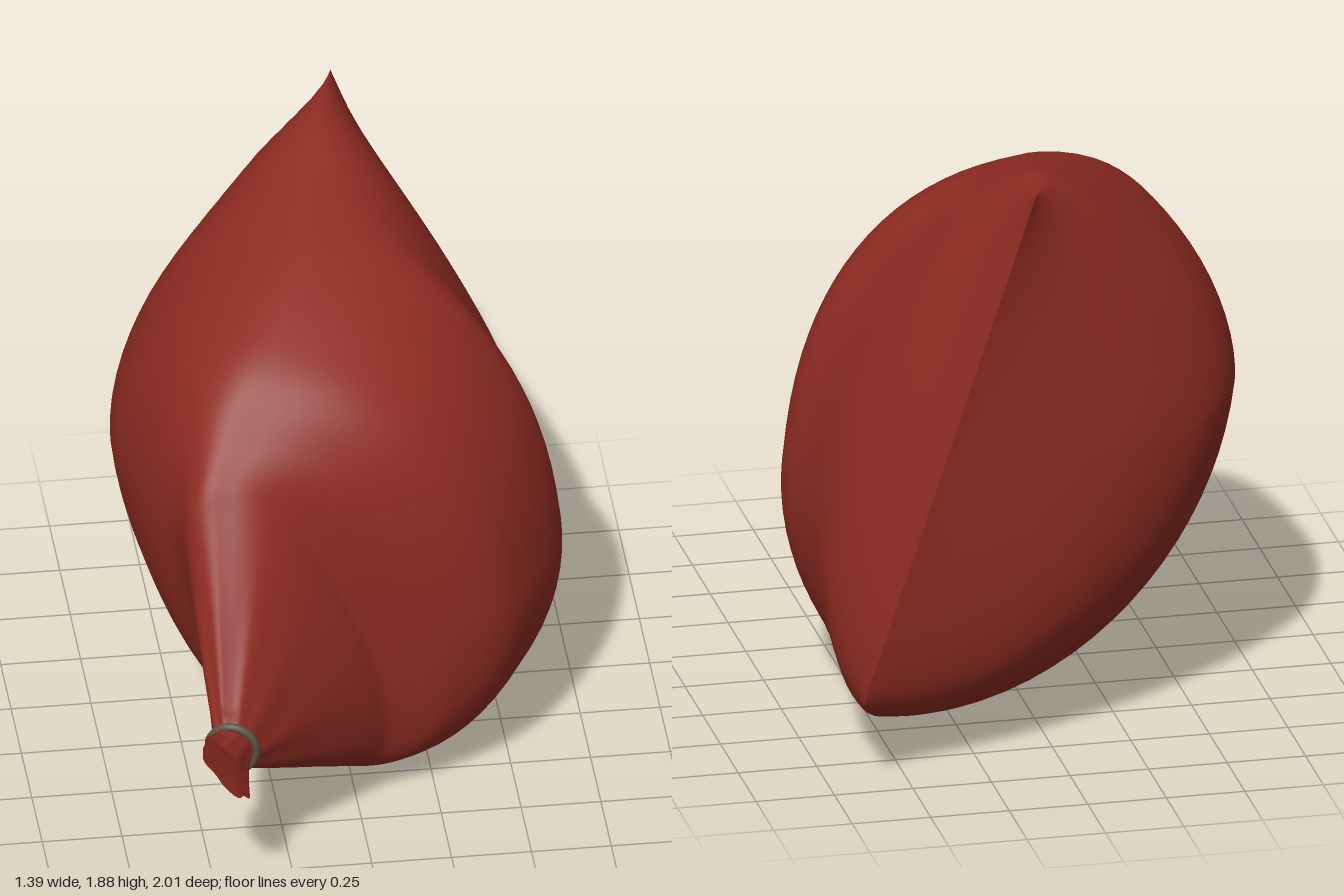
import * as THREE from 'three';

const V = (p) => new THREE.Vector3(...p);
const { smoothstep } = THREE.MathUtils;

// Cross-sections from the flat back seam to the tied mouth: top, left, bottom, right
const sections = [
  [[.08, 1.88, -.87], [.37, 1.08, -.935], [.66, .28, -1], [.37, 1.08, -.935]],
  [[.0, 1.87, -.64], [-.32, .95, -.75], [.57, .17, -.81], [.57, 1.02, -.45]],
  [[-.03, 1.8, -.38], [-.58, 1.0, -.56], [.34, .07, -.55], [.65, .83, -.18]],
  [[-.06, 1.72, -.1], [-.69, 1.0, -.25], [.14, .02, -.2], [.69, .72, .0]],
  [[-.16, 1.62, .14], [-.66, .9, .02], [.06, .0, .0], [.6, .7, .22]],
  [[-.27, 1.53, .29], [-.59, .78, .22], [.03, .03, .18], [.45, .7, .41]],
  [[-.38, 1.37, .42], [-.51, .74, .36], [.02, .09, .34], [.26, .7, .48]],
  [[-.43, 1.26, .5], [-.475, .72, .46], [.0, .14, .42], [.01, .7, .505]],
  [[-.475, .645, .9], [-.51, .56, .88], [-.435, .475, .88], [-.4, .55, .91]],
  [[-.53, .66, .995], [-.545, .56, .97], [-.43, .41, .955], [-.435, .52, 1.0]],
];

// Four lengthwise curves, with extra points that keep the cone straight
const rails = [0, 1, 2, 3].map((k) => {
  const points = sections.map((s) => V(s[k]));
  const cone = [.1, .5, .9].map((t) => points[7].clone().lerp(points[8], t));
  points.splice(8, 0, ...cone);
  return new THREE.CatmullRomCurve3(points);
});
const NECK = 11, MOUTH = 12;

// Fullness of each quarter of a section: below 1 is squarer, above 1 is flatter
function fullness(station, c, s) {
  if (c < 0) return s > 0 ? .95 : 1.1;
  return s > 0 ? 1.3 - .3 * smoothstep(station, 2.5, 5) : 1.1 - .3 * smoothstep(station, 1, 3);
}

// Lofts a smooth skin along the rails between two stations
function loft(first, last, steps, around, ripple, capped) {
  const pos = [], index = [];
  for (let i = 0; i <= steps; i++) {
    const station = first + (last - first) * i / steps;
    const [T, L, B, R] = rails.map((r) => r.getPoint(station / MOUTH));
    const C = T.clone().add(B).multiplyScalar(.5);
    const up = T.sub(C), left = L.sub(C), right = R.sub(C);
    for (let j = 0; j < around; j++) {
      const a = j / around * Math.PI * 2, c = Math.cos(a), s = Math.sin(a);
      const e = fullness(station, c, s);
      const f = 1 + ripple(station, a);
      const p = C.clone()
        .addScaledVector(up, Math.sign(c) * Math.abs(c) ** e * f)
        .addScaledVector(s > 0 ? left : right, Math.abs(s) ** e * f);
      pos.push(p.x, p.y, p.z);
    }
    if (i === steps && capped) pos.push(C.x, C.y, C.z - .02);
  }
  for (let i = 0; i < steps; i++) {
    for (let j = 0; j < around; j++) {
      const a = i * around + j, b = i * around + (j + 1) % around;
      index.push(a, b, a + around, b, b + around, a + around);
    }
  }
  if (capped) {
    const end = steps * around, centre = end + around;
    for (let j = 0; j < around; j++) index.push(end + j, end + (j + 1) % around, centre);
  }
  const g = new THREE.BufferGeometry();
  g.setAttribute('position', new THREE.Float32BufferAttribute(pos, 3));
  g.setIndex(index);
  g.computeVertexNormals();
  return g;
}

export function createModel() {
  const model = new THREE.Group();
  model.name = 'tiedSack';
  const cloth = new THREE.MeshStandardMaterial({ color: 0x8f2c22, side: THREE.DoubleSide });
  cloth.name = 'red cloth';
  const cord = new THREE.MeshStandardMaterial({ color: 0x5c5748 });
  cord.name = 'grey cord';

  const add = (name, geometry, material) => {
    const mesh = new THREE.Mesh(geometry, material);
    mesh.name = name;
    model.add(mesh);
    return mesh;
  };

  // Stuffed bag with gathers growing towards the neck
  const gathers = (t, a) => .03 * smoothstep(t, 8, 10) * Math.sin(9 * a);
  add('sackBody', loft(0, NECK, 99, 80, gathers, false), cloth);

  // Flared cloth end beyond the tie
  const frill = (t, a) => .03 * Math.sin(9 * a) + .08 * (t - NECK) * Math.sin(5 * a + .6);
  add('sackMouth', loft(NECK, MOUTH, 10, 80, frill, true), cloth);

  // Cord ring around the neck
  const ring = add('neckTie', new THREE.TorusGeometry(.09, .013, 10, 40), cord);
  ring.position.set(-.455, .56, .895);
  ring.scale.set(.85, 1, 1);
  ring.quaternion.setFromUnitVectors(new THREE.Vector3(0, 0, 1), V([-.33, -.2, 1]).normalize());

  return model;
}
